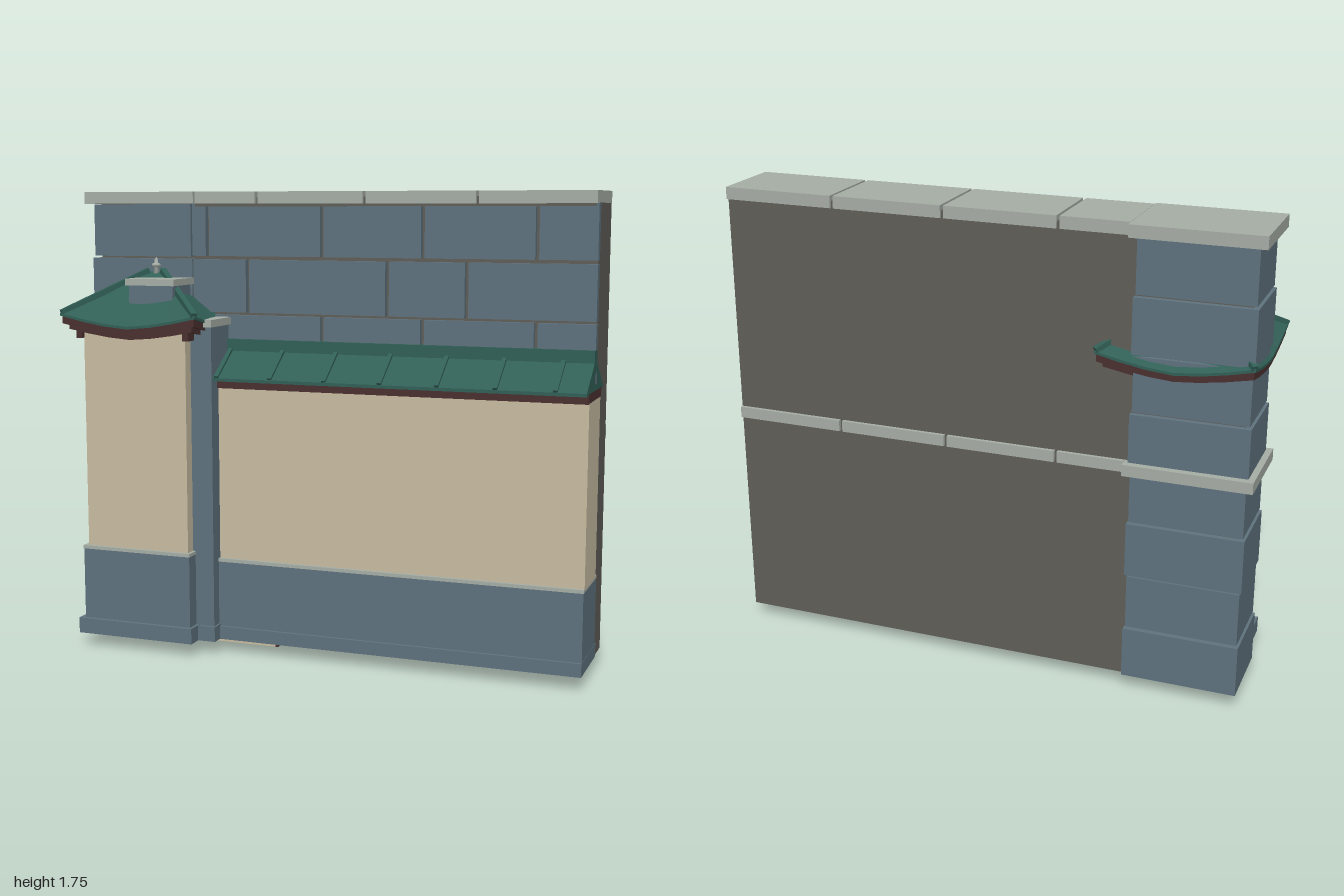
import * as THREE from 'three';

const mat = (name, color, side = THREE.FrontSide) => {
  const m = new THREE.MeshStandardMaterial({ color, side });
  m.name = name;
  return m;
};

export function createModel() {
  const model = new THREE.Group();
  model.name = 'gardenWall';
  const stone = mat('slate blue stone', 0x5f727d);
  const mortar = mat('dark mortar', 0x5f5d57);
  const trim = mat('pale trim', 0xa6ada5);
  const plaster = mat('cream plaster', 0xc8bca1);
  const green = mat('green roof', 0x315f56, THREE.DoubleSide);
  const brown = mat('brown wood', 0x4a312f, THREE.DoubleSide);

  const add = (name, geo, m, parent = model) => {
    const mesh = new THREE.Mesh(geo, m);
    mesh.name = name;
    parent.add(mesh);
    return mesh;
  };
  // box given by its limits on each axis
  const box = (name, m, x0, x1, y0, y1, z0, z1, parent) => {
    const b = add(name, new THREE.BoxGeometry(x1 - x0, y1 - y0, z1 - z0), m, parent);
    b.position.set((x0 + x1) / 2, (y0 + y1) / 2, (z0 + z1) / 2);
    return b;
  };
  // straight bar between two points
  const bar = (name, m, p, q, w, h, parent) => {
    const a = new THREE.Vector3(...p), b = new THREE.Vector3(...q);
    const mesh = add(name, new THREE.BoxGeometry(w, h, a.distanceTo(b)), m, parent);
    mesh.position.copy(a).add(b).multiplyScalar(0.5);
    mesh.lookAt(b);
    return mesh;
  };
  const group = (name) => {
    const g = new THREE.Group();
    g.name = name;
    model.add(g);
    return g;
  };

  // Tall wall core and its front blocks
  box('wallCore', mortar, -0.955, 0.997, 0.052, 1.712, -0.245, -0.01);
  const blocks = group('wallBlocks');
  const gap = 0.007;
  const courses = [
    [1.08, 1.29, [-0.56, -0.025, 0.365, 0.785, 1.007]],
    [1.30, 1.5, [-0.56, -0.325, 0.23, 0.53, 1.007]],
    [1.513, 1.71, [-0.56, -0.49, -0.025, 0.365, 0.785, 1.007]],
  ];
  for (const [y0, y1, xs] of courses)
    for (let i = 0; i < xs.length - 1; i++)
      box('wallBlock', stone, xs[i] + gap, xs[i + 1] - gap, y0, y1, -0.02, 0.014, blocks);

  // Corner pier of alternating courses
  const pier = group('cornerPier');
  const ys = [0.05, 0.25, 0.46, 0.67, 0.88, 1.085, 1.295, 1.505, 1.712];
  for (let i = 0; i < 8; i++) {
    const o = i % 2 ? 0 : 0.007;
    box('pierBlock', stone, -0.97 - o, -0.557 + o, ys[i] + 0.004, ys[i + 1] - 0.004, -0.26 - o, 0.02 + o / 2, pier);
  }

  // Coping stones on top and the ledge halfway up the back
  const caps = group('copingAndLedge');
  box('pierCoping', trim, -1, -0.535, 1.71, 1.755, -0.295, 0.043, caps);
  box('pierLedge', trim, -1, -0.535, 0.86, 0.902, -0.295, 0.043, caps);
  box('copingBed', mortar, -0.54, 0.99, 1.7, 1.735, -0.25, 0.015, caps);
  const seams = [-0.54, -0.28, 0.145, 0.57, 1.002];
  for (let i = 0; i < 4; i++) {
    const x0 = seams[i] + 0.006, x1 = seams[i + 1] - 0.006;
    box('copingStone', trim, x0, x1, 1.71, 1.755, -0.26, 0.03, caps);
    box('ledgeStone', trim, x0, x1, 0.86, 0.902, -0.26, -0.2, caps);
  }

  // Low plastered wall
  const low = group('lowWall');
  box('lowPlinth', stone, -0.42, 1, 0.05, 0.1, -0.135, 0.14, low);
  box('lowBase', stone, -0.42, 0.999, 0.05, 0.352, -0.12, 0.128, low);
  box('lowBaseTrim', trim, -0.42, 1, 0.352, 0.365, -0.12, 0.128, low);
  box('lowPlaster', plaster, -0.42, 1, 0.36, 1.03, -0.1, 0.113, low);
  box('lowEaveBoard', brown, -0.42, 1, 1.022, 1.057, -0.115, 0.127, low);

  // Low wall roof with raised seams
  const gable = new THREE.Shape([
    [-0.165, 1.052], [0.15, 1.052], [0.15, 1.062], [0.02, 1.155], [0.02, 1.2],
    [-0.03, 1.2], [-0.03, 1.155], [-0.165, 1.064],
  ].map(([x, y]) => new THREE.Vector2(x, y)));
  const roof = add('lowRoof', new THREE.ExtrudeGeometry(gable, { depth: 1.405, bevelEnabled: false }), green, low);
  roof.rotation.y = Math.PI / 2;
  roof.position.x = -0.405;
  for (let i = 0; i < 7; i++) {
    const x = -0.39 + i * 0.2135;
    bar('roofSeam', green, [x, 1.064, 0.163], [x, 1.158, 0.028], 0.016, 0.018, low);
  }

  // Pilaster beside the bay
  const pil = group('pilaster');
  box('pilasterShaft', stone, -0.5, -0.405, 0.05, 1.26, -0.01, 0.175, pil);
  box('pilasterPlinth', stone, -0.5, -0.398, 0.05, 0.108, -0.01, 0.187, pil);
  box('pilasterCap', trim, -0.5, -0.395, 1.255, 1.283, -0.01, 0.195, pil);

  // Projecting bay
  const bay = group('bay');
  box('bayPlinth', stone, -0.95, -0.468, 0.05, 0.11, 0, 0.248, bay);
  box('bayBase', stone, -0.93, -0.48, 0.05, 0.385, 0, 0.232, bay);
  box('bayBaseTrim', trim, -0.932, -0.478, 0.385, 0.398, 0, 0.235, bay);
  box('bayPlaster', plaster, -0.915, -0.49, 0.39, 1.23, 0, 0.22, bay);
  for (const x of [-0.925, -0.48])
    box('bayBracket', brown, x - 0.012, x + 0.012, 1.205, 1.25, 0.19, 0.24, bay);

  // Bay roof: square rings [half width, height, corner lift] joined upward
  const N = 6, CX = -0.702;
  const loft = (rings) => {
    const pos = [], idx = [], M = 4 * N;
    for (const [h, y, lift] of rings)
      for (let s = 0; s < 4; s++)
        for (let j = 0; j < N; j++) {
          const u = -1 + 2 * j / N, a = s * Math.PI / 2, c = Math.cos(a), n = Math.sin(a);
          pos.push(CX + h * (u * c + n), y + lift * Math.abs(u) ** 1.5, h * (c - u * n));
        }
    for (let r = 0; r < rings.length - 1; r++)
      for (let k = 0; k < M; k++) {
        const a = r * M + k, b = r * M + (k + 1) % M;
        idx.push(a, b, b + M, a, b + M, a + M);
      }
    let g = new THREE.BufferGeometry();
    g.setAttribute('position', new THREE.Float32BufferAttribute(pos, 3));
    g.setIndex(idx);
    g = g.toNonIndexed();
    g.computeVertexNormals();
    return g;
  };
  const bayRoof = group('bayRoof');
  add('bayEaves', loft([[0.19, 1.205, 0.03], [0.255, 1.205, 0.035], [0.255, 1.222, 0.037],
    [0.274, 1.222, 0.04], [0.274, 1.248, 0.043]]), brown, bayRoof);
  add('bayRoofSlopes', loft([[0.27, 1.246, 0.043], [0.28, 1.246, 0.045], [0.28, 1.256, 0.045],
    [0.17, 1.34, 0.025], [0.06, 1.43, 0.008], [0.001, 1.462, 0]]), green, bayRoof);
  for (const sx of [-1, 1])
    for (const sz of [-1, 1])
      bar('hipRidge', green, [CX + sx * 0.276, 1.302, sz * 0.276], [CX + sx * 0.03, 1.455, sz * 0.03], 0.022, 0.022, bayRoof);

  // Stone stack on the roof and the finial at its peak
  box('stackBody', stone, -0.742, -0.56, 1.33, 1.408, 0, 0.178, bayRoof);
  box('stackCap', trim, -0.75, -0.548, 1.405, 1.43, 0, 0.192, bayRoof);
  const finial = [[0, 1.44], [0.012, 1.445], [0.008, 1.465], [0.018, 1.472], [0.018, 1.48],
    [0.007, 1.486], [0.007, 1.498], [0, 1.507]].map(([x, y]) => new THREE.Vector2(x, y));
  const fin = add('finial', new THREE.LatheGeometry(finial, 10), trim, bayRoof);
  fin.position.set(CX, 0, 0.025);

  // Long fitting below the wall
  const foot = group('underFitting');
  box('fittingPlate', stone, -0.755, 0.14, 0.036, 0.055, -0.05, 0.05, foot);
  box('fittingStep', stone, -0.745, 0.1, 0.027, 0.04, -0.037, 0.037, foot);
  box('fittingRail', brown, -0.66, -0.19, 0.014, 0.03, -0.015, 0.015, foot);
  box('fittingPanel', plaster, -0.665, -0.22, 0, 0.017, -0.01, 0.01, foot);
  box('fittingEnd', brown, -0.222, -0.21, 0, 0.02, -0.01, 0.01, foot);

  return model;
}
